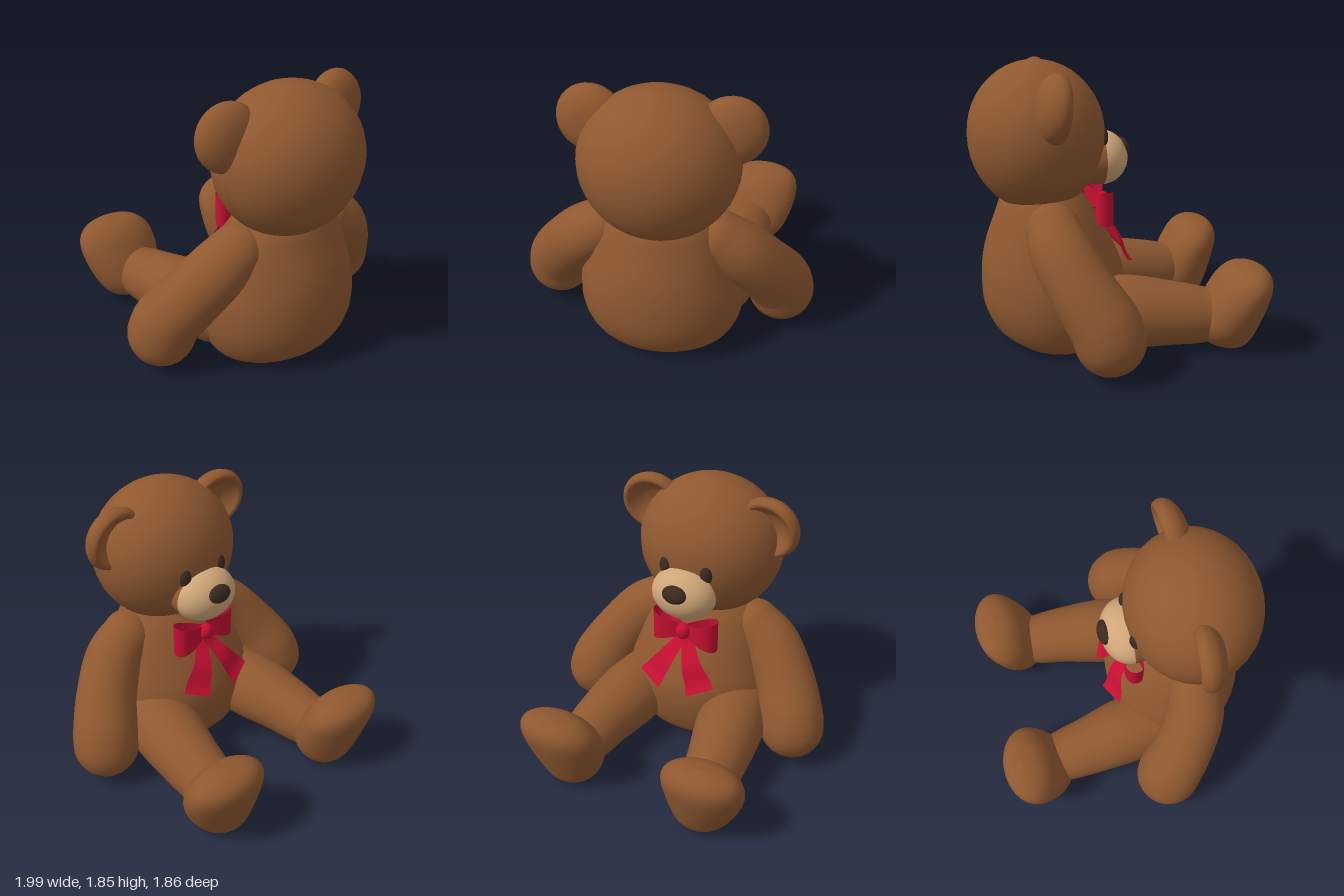
import * as THREE from 'three';
import { ParametricGeometry } from 'three/addons/geometries/ParametricGeometry.js';

const V = (x, y, z) => new THREE.Vector3(x, y, z);
const SIDES = 36;

// Closed skin over rings { c, u, v, ru, rv }, where u x v points along the loft
function skin(rings) {
  const pos = [], idx = [];
  rings.forEach(({ c, u, v, ru, rv }, i) => {
    for (let j = 0; j < SIDES; j++) {
      const a = (j / SIDES) * Math.PI * 2;
      const p = c.clone().addScaledVector(u, ru * Math.cos(a)).addScaledVector(v, rv * Math.sin(a));
      pos.push(p.x, p.y, p.z);
      if (i === rings.length - 1) continue;
      const k = (j + 1) % SIDES, A = i * SIDES;
      idx.push(A + j, A + k, A + SIDES + j, A + k, A + SIDES + k, A + SIDES + j);
    }
  });
  const g = new THREE.BufferGeometry();
  g.setAttribute('position', new THREE.Float32BufferAttribute(pos, 3));
  g.setIndex(idx);
  g.computeVertexNormals();
  return g;
}

// Upright loft through sections [y, x, z, rx, rz]
function loft(sections, n = 32) {
  const mids = new THREE.CatmullRomCurve3(sections.map(([y, x, z]) => V(x, y, z)), false, 'catmullrom');
  const radii = new THREE.CatmullRomCurve3(sections.map((s) => V(s[3], s[4], 0)), false, 'catmullrom');
  return skin(Array.from({ length: n + 1 }, (_, i) => {
    const r = radii.getPoint(i / n);
    return { c: mids.getPoint(i / n), u: V(0, 0, 1), v: V(1, 0, 0), ru: Math.max(r.y, 0), rv: Math.max(r.x, 0) };
  }));
}

// Round limb with domed ends through points [x, y, z, radius]
function limb(points, n = 24, capSteps = 8) {
  const path = new THREE.CatmullRomCurve3(points.map(([x, y, z]) => V(x, y, z)), false, 'catmullrom');
  const radii = new THREE.CatmullRomCurve3(points.map((p) => V(p[3], 0, 0)), false, 'catmullrom');
  const f = path.computeFrenetFrames(n);
  const rings = [];
  const add = (i, angle) => {
    const t = path.getUtoTmapping(i / n);
    const r = radii.getPoint(t).x;
    const rr = r * Math.cos(angle);
    const c = path.getPoint(t).addScaledVector(f.tangents[i], r * Math.sin(angle));
    rings.push({ c, u: f.normals[i], v: f.binormals[i], ru: rr, rv: rr });
  };
  for (let k = capSteps; k > 0; k--) add(0, (-k / capSteps) * Math.PI / 2);
  for (let i = 0; i <= n; i++) add(i, 0);
  for (let k = 1; k <= capSteps; k++) add(n, (k / capSteps) * Math.PI / 2);
  return skin(rings);
}

function ellipsoid(rx, ry, rz) {
  return new THREE.SphereGeometry(1, 32, 22).scale(rx, ry, rz);
}

export function createModel() {
  const model = new THREE.Group();
  model.name = 'teddyBear';
  const material = (name, color, side = THREE.FrontSide) => {
    const m = new THREE.MeshStandardMaterial({ color, side });
    m.name = name;
    return m;
  };
  const fur = material('brown fur', 0x8f5830);
  const tan = material('tan muzzle', 0xd0a678);
  const dark = material('dark brown', 0x3a2a20);
  const red = material('red ribbon', 0xc60f32, THREE.DoubleSide);

  const add = (name, geometry, mat, x = 0, y = 0, z = 0) => {
    const m = new THREE.Mesh(geometry, mat);
    m.name = name;
    m.position.set(x, y, z);
    model.add(m);
    return m;
  };

  // Pear-shaped body with a flat seat
  add('body', loft([
    [0.01, 0, 0.38, 0.42, 0.31],
    [0.09, 0, 0.39, 0.49, 0.40],
    [0.25, 0, 0.40, 0.54, 0.46],
    [0.45, 0, 0.40, 0.54, 0.47],
    [0.65, 0, 0.42, 0.48, 0.42],
    [0.85, 0, 0.44, 0.41, 0.33],
    [0.98, 0, 0.46, 0.33, 0.26],
    [1.10, 0, 0.48, 0.20, 0.16],
  ]), fur);
  add('seat', new THREE.CircleGeometry(1, SIDES).rotateX(Math.PI / 2).scale(0.42, 1, 0.31), fur, 0, 0.01, 0.38);

  // Head, with a longer lower half
  const head = ellipsoid(0.5, 0.47, 0.44);
  const hp = head.attributes.position;
  for (let i = 0; i < hp.count; i++) if (hp.getY(i) < 0) hp.setY(i, hp.getY(i) * 1.06);
  head.computeVertexNormals();
  add('head', head, fur, 0, 1.38, 0.49);

  // Muzzle: tan front dome, fur dome blending back into the head
  const dome = (start, depth) => new THREE.SphereGeometry(1, 36, 14, 0, Math.PI * 2, start, Math.PI / 2)
    .rotateX(-Math.PI / 2).scale(0.225, 0.18, depth);
  add('muzzle', dome(0, 0.18), tan, 0, 1.2, 0.07);
  add('muzzleBase', dome(Math.PI / 2, 0.3), fur, 0, 1.2, 0.07);
  add('nose', ellipsoid(0.085, 0.06, 0.04), dark, 0, 1.265, -0.085).rotation.x = 0.35;

  // Cupped ear profile, from the back to the rim and into the hollow
  const earProfile = new THREE.SplineCurve([
    [0, -0.09], [0.1, -0.08], [0.18, -0.04], [0.215, 0.02], [0.2, 0.07],
    [0.17, 0.075], [0.14, 0.04], [0.08, 0], [0, -0.015],
  ].map(([r, h]) => new THREE.Vector2(r, h))).getPoints(32).map((p) => p.setX(Math.max(p.x, 0)));

  for (const [side, s] of [['left', 1], ['right', -1]]) {
    const mirror = (pts) => pts.map(([x, ...rest]) => [x * s, ...rest]);

    add(side + 'Ear', new THREE.LatheGeometry(earProfile, 32).rotateX(-Math.PI / 2), fur, 0.425 * s, 1.605, 0.465)
      .rotation.set(-0.12, 0.1 * s, 0);

    add(side + 'Eye', ellipsoid(0.042, 0.063, 0.028), dark, 0.148 * s, 1.36, 0.078).rotation.set(0, -0.32 * s, 0);

    add(side + 'Arm', limb(mirror([
      [0.36, 0.83, 0.45, 0.175],
      [0.51, 0.71, 0.42, 0.195],
      [0.66, 0.51, 0.32, 0.205],
      [0.75, 0.34, 0.22, 0.22],
      [0.775, 0.25, 0.19, 0.222],
    ])), fur);

    add(side + 'Leg', limb(mirror([
      [0.36, 0.26, 0.2, 0.235],
      [0.4, 0.255, -0.05, 0.235],
      [0.44, 0.235, -0.3, 0.208],
      [0.46, 0.215, -0.48, 0.188],
      [0.48, 0.22, -0.6, 0.165],
    ])), fur);

    // Upturned foot
    add(side + 'Foot', loft([
      [0.005, 0.49, -0.69, 0, 0],
      [0.015, 0.49, -0.685, 0.11, 0.09],
      [0.06, 0.49, -0.665, 0.18, 0.16],
      [0.16, 0.5, -0.66, 0.235, 0.205],
      [0.3, 0.515, -0.70, 0.27, 0.205],
      [0.42, 0.525, -0.745, 0.275, 0.185],
      [0.5, 0.535, -0.77, 0.235, 0.15],
      [0.55, 0.54, -0.78, 0.15, 0.09],
      [0.57, 0.545, -0.785, 0, 0],
    ].map(([y, x, ...rest]) => [y, x * s, ...rest]), 40), fur);

    // Ribbon loop, flaring away from the knot
    add(side + 'BowLoop', new ParametricGeometry((u, v, out) => {
      const reach = Math.sin(Math.PI * u);
      const width = 0.09 + 0.14 * reach;
      out.set(0.235 * s * reach, 0.9 + (v - 0.5) * width, 0.065 - 0.06 * Math.sin(2 * Math.PI * u) + 0.02 * reach);
    }, 28, 4), red);

    // Hanging ribbon tail with a slanted, gently waved end
    add(side + 'BowTail', new ParametricGeometry((u, v, out) => {
      const w = (v - 0.5) * (0.06 + 0.13 * u);
      out.set(s * (0.19 * u + w * 0.9), 0.87 - 0.34 * u + w * 0.35,
        0.06 - 0.155 * u + w * 0.4 + 0.012 * Math.sin(u * 9));
    }, 16, 4), red);
  }

  add('bowKnot', ellipsoid(0.05, 0.06, 0.05), red, 0, 0.9, 0.05);
  return model;
}
